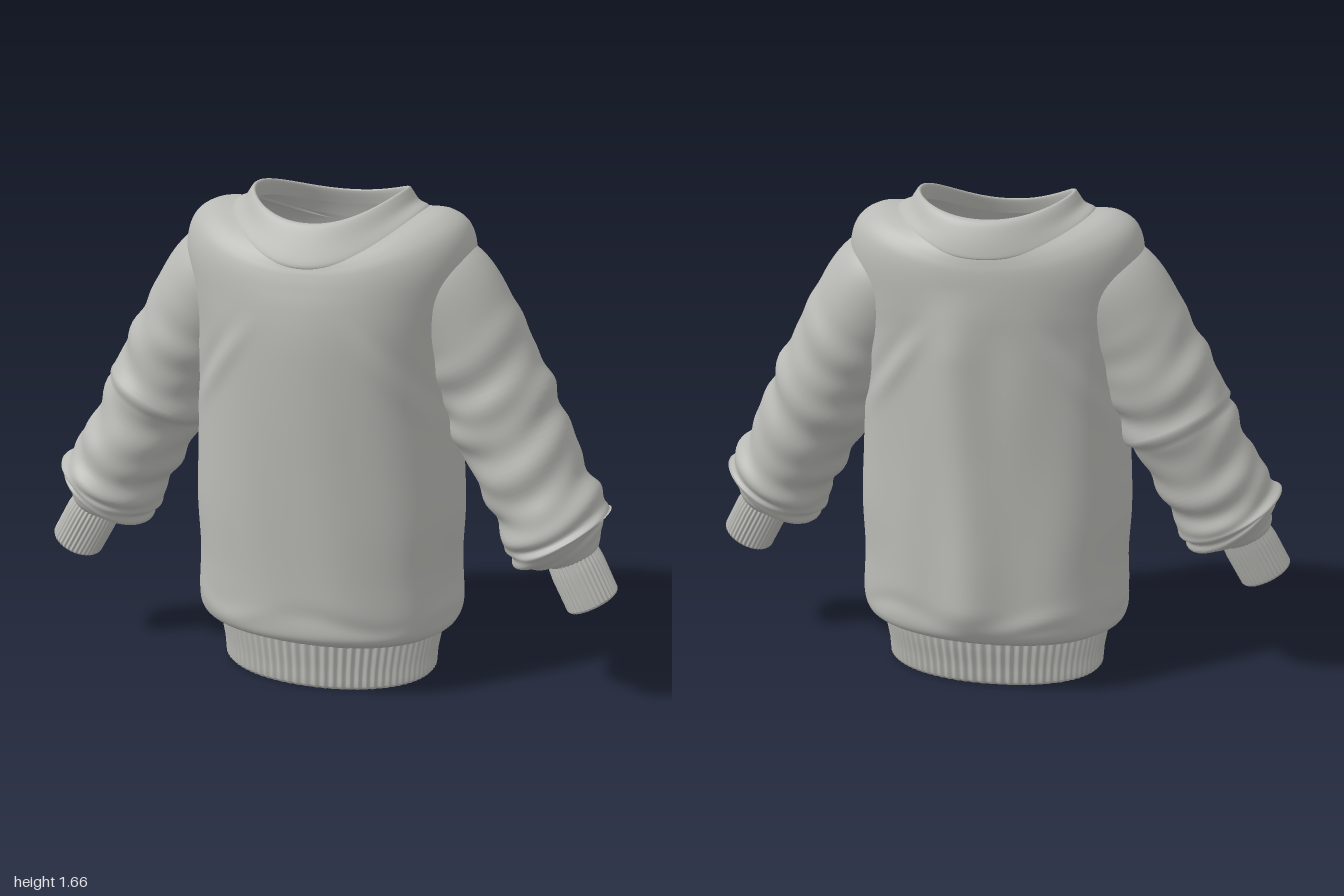
import * as THREE from 'three';

const knit = new THREE.MeshStandardMaterial({ color: 0xb9b9b5, side: THREE.DoubleSide });
knit.name = 'grey knit';

// Skin of closed rings: point(v, angle) gives a vertex, v runs 0..1 along the part
function loft(name, rows, segs, point, flip = false) {
  const pos = [], idx = [];
  for (let j = 0; j <= rows; j++) {
    for (let i = 0; i < segs; i++) pos.push(...point(j / rows, (i / segs) * Math.PI * 2));
  }
  for (let j = 0; j < rows; j++) {
    for (let i = 0; i < segs; i++) {
      const n = (i + 1) % segs;
      const a = j * segs + i, b = j * segs + n, c = a + segs, d = b + segs;
      if (flip) idx.push(a, b, c, b, d, c);
      else idx.push(a, c, b, b, c, d);
    }
  }
  const geo = new THREE.BufferGeometry();
  geo.setAttribute('position', new THREE.Float32BufferAttribute(pos, 3));
  geo.setIndex(idx);
  geo.computeVertexNormals();
  const mesh = new THREE.Mesh(geo, knit);
  mesh.name = name;
  return mesh;
}

// Smooth or straight interpolation through a list of cross-section rows
function sample(rows, v, smooth = true) {
  const t = v * (rows.length - 1);
  const k = Math.min(Math.floor(t), rows.length - 2), f = t - k;
  const at = (i) => rows[Math.max(0, Math.min(rows.length - 1, i))];
  return at(k).map((p1, c) => {
    const p0 = at(k - 1)[c], p2 = at(k + 1)[c], p3 = at(k + 2)[c];
    if (!smooth) return p1 + (p2 - p1) * f;
    return p1 + 0.5 * f * (p2 - p0 + f * (2 * p0 - 5 * p1 + 4 * p2 - p3 + f * (3 * (p1 - p2) + p3 - p0)));
  });
}

const gauss = (d, w) => Math.exp(-(d * d) / (w * w));
const power = (v, p) => Math.sign(v) * Math.pow(Math.abs(v), p);

// Torso ring from [half width, front z, back z, side y, front y, back y]
function torsoPoint([hx, zf, zb, ys, yf, yb], a, p = 0.92) {
  const c = Math.cos(a), s = Math.sin(a);
  const y = ys * c * c + (s > 0 ? yf : yb) * s * s;
  return [hx * power(c, p), y, (s > 0 ? zf : -zb) * power(s, p)];
}
const level = (y, hx, zf, zb) => [hx, zf, zb, y, y, y];

const TORSO = [
  level(0.155, 0.385, 0.265, -0.24), level(0.175, 0.41, 0.30, -0.275), level(0.205, 0.448, 0.352, -0.32),
  level(0.27, 0.458, 0.36, -0.328), level(0.42, 0.452, 0.358, -0.322), level(0.6, 0.46, 0.358, -0.31),
  level(0.8, 0.452, 0.358, -0.30), level(1.0, 0.445, 0.358, -0.295), level(1.2, 0.45, 0.355, -0.29),
  level(1.31, 0.465, 0.345, -0.292),
  [0.48, 0.33, -0.29, 1.46, 1.38, 1.39],
  [0.455, 0.318, -0.286, 1.55, 1.42, 1.44],
  [0.39, 0.31, -0.28, 1.593, 1.44, 1.47],
  [0.31, 0.302, -0.272, 1.597, 1.46, 1.5],
];

// Torso cloth with the back ridge, underarm creases and slouch above the hem
function torsoSkin(v, a) {
  let [x, y, z] = torsoPoint(sample(TORSO, v), a);
  const body = THREE.MathUtils.smoothstep(y, 0.2, 0.32) * (1 - THREE.MathUtils.smoothstep(y, 1.15, 1.4));
  let push = 0.004 * Math.sin(9 * x + 4 * y) * Math.sin(7 * a);
  if (z < 0) push += 0.034 * gauss(x - 0.04 - 0.06 * (y - 0.5), 0.09);
  const m = Math.abs(x);
  push += 0.012 * gauss(m - 0.3 + 0.7 * (y - 1.08), 0.035) * gauss(y - 1.1, 0.14);
  push -= 0.008 * gauss(m - 0.36 + 0.7 * (y - 1.08), 0.03) * gauss(y - 1.08, 0.14);
  push *= body;
  push += 0.008 * gauss(y - 0.27 - 0.025 * Math.sin(5 * a), 0.03) * Math.sin(3 * a + 1);
  return [x + push * Math.cos(a) * 0.5, y, z + push * Math.sin(a)];
}

// Neckband: outer seam, standing edge, then folded inside
const COLLAR = [
  [0.322, 0.309, -0.278, 1.59, 1.44, 1.485],
  [0.312, 0.309, -0.279, 1.602, 1.455, 1.495],
  [0.282, 0.283, -0.267, 1.615, 1.51, 1.54],
  [0.264, 0.256, -0.248, 1.64, 1.56, 1.585],
  [0.252, 0.242, -0.232, 1.655, 1.572, 1.6],
  [0.242, 0.235, -0.222, 1.645, 1.565, 1.595],
  [0.25, 0.25, -0.235, 1.6, 1.52, 1.55],
];

// Waist rib: outside wall, rounded lower lip, inside wall
const HEM = [
  level(0.165, 0.392, 0.27, -0.245), level(0.13, 0.385, 0.268, -0.242), level(0.07, 0.374, 0.264, -0.232),
  level(0.012, 0.37, 0.264, -0.228), level(0, 0.362, 0.257, -0.221), level(0.012, 0.354, 0.249, -0.213),
  level(0.16, 0.372, 0.25, -0.225),
];

// Sleeve centre x, y, z, radius across the arm, radius in z
const SLEEVE = [
  [0.28, 1.37, 0, 0.16, 0.19], [0.36, 1.325, 0, 0.195, 0.2], [0.45, 1.2, 0, 0.19, 0.195],
  [0.54, 1.04, 0, 0.185, 0.19], [0.62, 0.885, 0.01, 0.182, 0.185], [0.71, 0.72, 0.03, 0.17, 0.18],
  [0.775, 0.6, 0.045, 0.18, 0.188], [0.8, 0.555, 0.05, 0.175, 0.182], [0.83, 0.515, 0.055, 0.115, 0.125],
  [0.842, 0.492, 0.06, 0.082, 0.092],
];

function armPoint([x, y, z, r, rz], dir, a, side, extra) {
  const c = Math.cos(a) * (r + extra);
  return [side * (x - dir[1] * c), y + dir[0] * c, z + (rz + extra) * Math.sin(a)];
}

function sleeveSkin(v, a, side) {
  const p = sample(SLEEVE, v);
  const q0 = sample(SLEEVE, Math.max(0, v - 0.04)), q1 = sample(SLEEVE, Math.min(1, v + 0.04));
  const d = [q1[0] - q0[0], q1[1] - q0[1]], len = Math.hypot(...d);
  const t = v * (SLEEVE.length - 1);
  // ring folds that grow toward the wrist
  const fade = THREE.MathUtils.smoothstep(t, 1.5, 3) * (1 - THREE.MathUtils.smoothstep(t, 7.2, 8.5));
  let fold = 0.006 * Math.sin(5.5 * t + 1.3 * Math.sin(a + side) + side);
  fold += 0.004 * Math.sin(9 * t + 2 * Math.cos(2 * a));
  // overlapping tuck on the right sleeve
  if (side < 0) {
    const u = t - 3.85;
    fold += u < 0 ? 0.012 * Math.exp(u * 2.5) : -0.007 * Math.exp(-u * 2);
  }
  return armPoint(p, [d[0] / len, d[1] / len], a, side, fold * fade);
}

// Cuff: outside wall, open lip, inside wall
const CUFF = [
  [0.835, 0.505, 0.059, 0.084, 0.094], [0.86, 0.46, 0.066, 0.089, 0.097], [0.913, 0.362, 0.078, 0.088, 0.095],
  [0.917, 0.354, 0.079, 0.082, 0.089], [0.913, 0.362, 0.078, 0.075, 0.082], [0.84, 0.497, 0.06, 0.072, 0.08],
];

// Raised and sunken knit ribs, fading on the inner wall
const rib = (v, a, n, depth) => depth * Math.sin(n * a) * (v < 0.55 ? 1 : 0.4);

export function createModel() {
  const model = new THREE.Group();
  model.name = 'sweater';

  model.add(loft('torso', 100, 120, torsoSkin));

  model.add(loft('collar', 24, 120, (v, a) => {
    const p = torsoPoint(sample(COLLAR, v), a, 0.96);
    const k = 1 + 0.004 * Math.sin(60 * a) * gauss(v - 0.6, 0.15);
    return [p[0] * k, p[1], p[2] * k];
  }, false));

  model.add(loft('waistRib', 18, 480, (v, a) => {
    const [x, y, z] = torsoPoint(sample(HEM, v, false), a, 0.95);
    const r = rib(v, a, 80, 0.004);
    return [x + r * Math.cos(a), y, z + r * Math.sin(a)];
  }, true === false));

  for (const side of [1, -1]) {
    const label = side > 0 ? 'left' : 'right';
    model.add(loft(label + 'Sleeve', 90, 64, (v, a) => sleeveSkin(v, a, side), side > 0));
    model.add(loft(label + 'Cuff', 15, 216, (v, a) =>
      armPoint(sample(CUFF, v, false), [0.47, -0.88], a, side, rib(v, a, 36, 0.0025)), side > 0));
  }
  return model;
}
